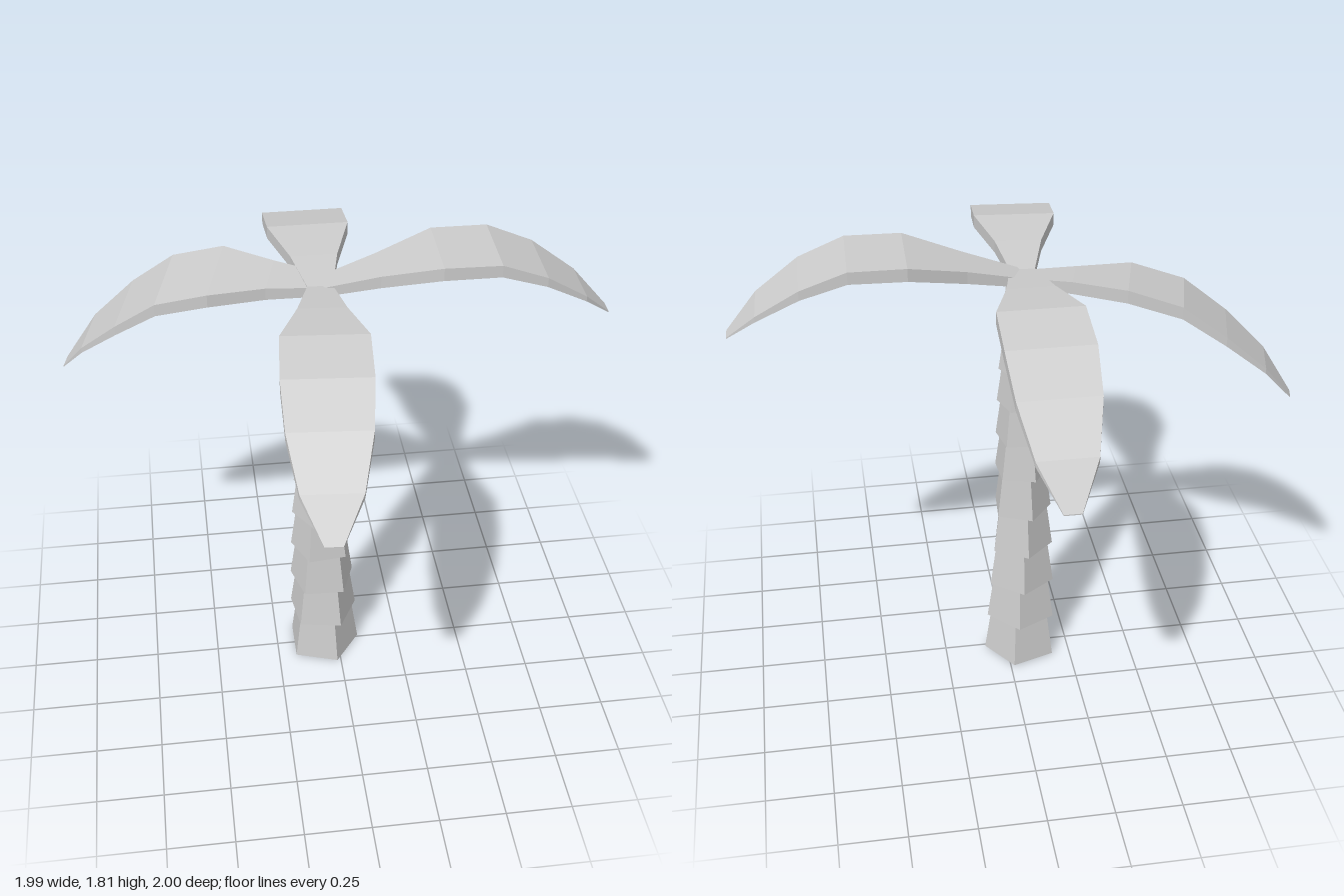
import * as THREE from 'three';

const material = new THREE.MeshStandardMaterial({ color: 0xcccccc, flatShading: true });

// Shared leaf plan: fraction of length, half width, thickness
const STATIONS = [
  [0.0, 0.045, 0.035], [0.19, 0.085, 0.045], [0.39, 0.15, 0.048], [0.585, 0.152, 0.045],
  [0.745, 0.14, 0.035], [0.895, 0.102, 0.02], [1.0, 0.03, 0.004],
];

// Solid curved leaf: four-cornered sections joined along a horizontal direction
function makeFrond({ name, origin, dir, length, heights, roll = 0 }) {
  const u = new THREE.Vector2(...dir).normalize();
  const positions = [];
  const index = [];
  STATIONS.forEach(([f, half, thick], i) => {
    const corners = [[-half, 0], [half, 0], [half, -thick], [-half, -thick]];
    for (const [side, drop] of corners) {
      positions.push(
        origin[0] + u.x * f * length - u.y * side,
        heights[i] + drop + roll * side,
        origin[1] + u.y * f * length + u.x * side,
      );
    }
    if (i === 0) return;
    const a = (i - 1) * 4, b = i * 4;
    for (let k = 0; k < 4; k++) {
      const n = (k + 1) % 4;
      index.push(a + k, a + n, b + n, a + k, b + n, b + k);
    }
  });
  // Close the root and the tip
  const e = (STATIONS.length - 1) * 4;
  index.push(0, 2, 1, 0, 3, 2, e, e + 1, e + 2, e, e + 2, e + 3);

  const geometry = new THREE.BufferGeometry();
  geometry.setAttribute('position', new THREE.Float32BufferAttribute(positions, 3));
  geometry.setIndex(index);
  geometry.computeVertexNormals();
  const mesh = new THREE.Mesh(geometry, material);
  mesh.name = name;
  return mesh;
}

// Stacked five-sided rings, each flared at its foot and twisted a little further
function makeTrunk() {
  const trunk = new THREE.Group();
  trunk.name = 'trunk';
  const levels = [0, 0.18, 0.35, 0.52, 0.69, 0.86, 1.01, 1.16, 1.3, 1.43, 1.56, 1.69];
  const radius = (i) => 0.147 - 0.0077 * i;
  for (let i = 0; i < levels.length - 1; i++) {
    const h = levels[i + 1] - levels[i];
    const ring = new THREE.Mesh(
      new THREE.CylinderGeometry(radius(i + 1) * 0.87, radius(i), h, 5), material);
    ring.name = `trunkRing${i + 1}`;
    ring.position.set(-0.06, levels[i] + h / 2, -0.01 + 0.001 * i);
    ring.rotation.y = Math.PI / 2 + THREE.MathUtils.degToRad(8 * i);
    trunk.add(ring);
  }
  return trunk;
}

export function createModel() {
  const model = new THREE.Group();
  model.name = 'palmTree';
  model.add(makeTrunk());

  const fronds = new THREE.Group();
  fronds.name = 'fronds';
  [
    { name: 'leftFrond', origin: [-0.05, -0.03], dir: [1, 0.02], length: 1.04,
      heights: [1.7, 1.755, 1.81, 1.81, 1.745, 1.64, 1.53] },
    { name: 'rightFrond', origin: [-0.05, -0.04], dir: [-0.966, -0.26], length: 0.975,
      heights: [1.7, 1.71, 1.712, 1.66, 1.55, 1.42, 1.28], roll: 0.11 },
    { name: 'frontFrond', origin: [-0.06, 0], dir: [-0.08, 1], length: 1.0,
      heights: [1.7, 1.725, 1.742, 1.702, 1.61, 1.48, 1.355] },
    { name: 'backFrond', origin: [-0.06, 0], dir: [0, -1], length: 1.0,
      heights: [1.7, 1.72, 1.738, 1.697, 1.6, 1.47, 1.335] },
  ].forEach((spec) => fronds.add(makeFrond(spec)));
  model.add(fronds);
  return model;
}
